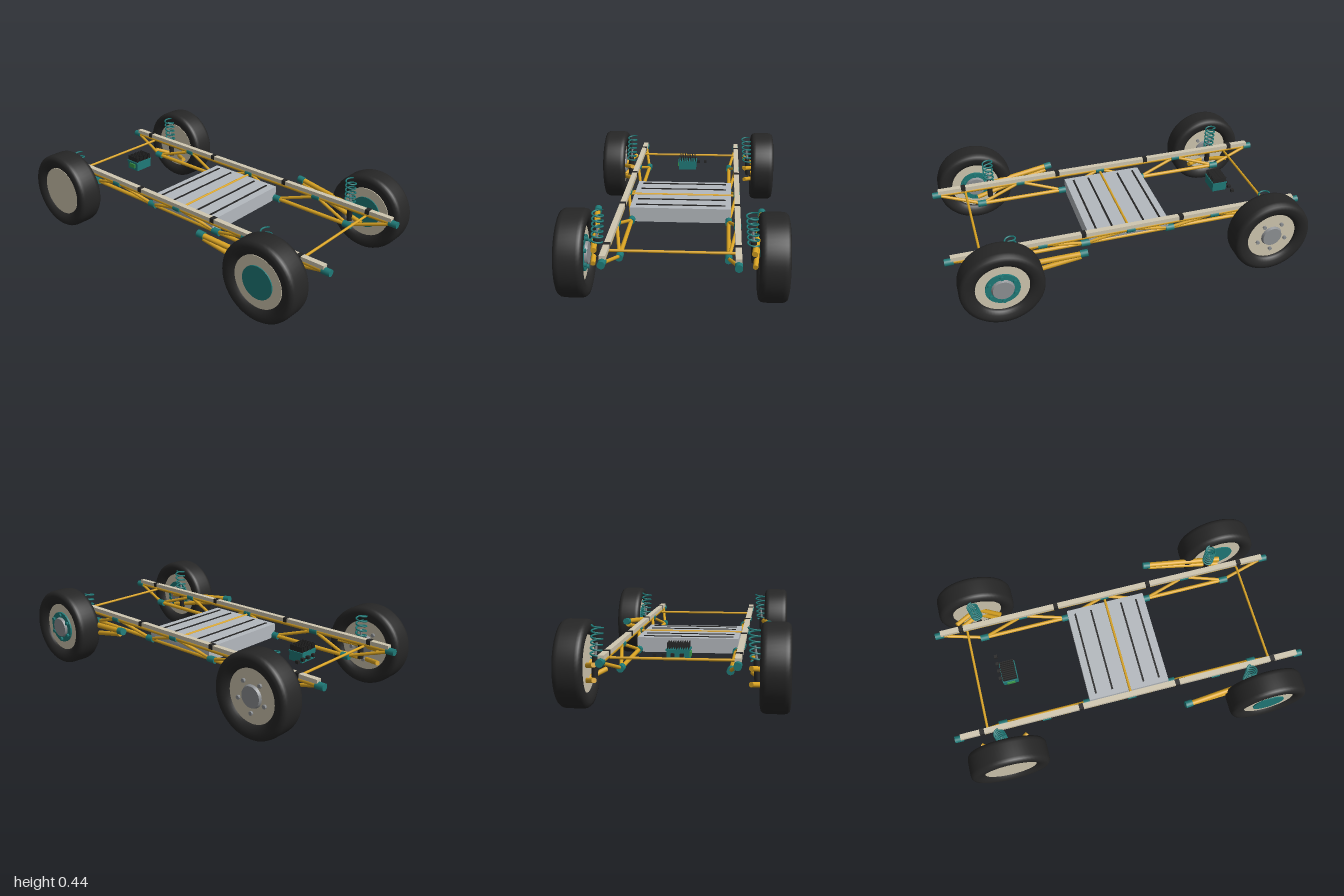
import * as THREE from 'three';

const mat = (color, side = THREE.FrontSide) => new THREE.MeshStandardMaterial({ color, side });
const teal = mat(0x1f7a78), yellow = mat(0xd9a322), cream = mat(0xd0c7b0), black = mat(0x262626);
const steel = mat(0x8e9194), pale = mat(0xb4b9be), green = mat(0x3a9a4a);
const V = (x, y, z) => new THREE.Vector3(x, y, z);

function add(parent, name, geometry, material, x = 0, y = 0, z = 0) {
  const m = new THREE.Mesh(geometry, material);
  m.name = name;
  m.position.set(x, y, z);
  parent.add(m);
  return m;
}

function box(parent, name, w, h, d, material, x, y, z) {
  return add(parent, name, new THREE.BoxGeometry(w, h, d), material, x, y, z);
}

// Round bar between two points
function rod(parent, name, a, b, r, material = yellow, sides = 14) {
  const d = b.clone().sub(a);
  const m = add(parent, name, new THREE.CylinderGeometry(r, r, d.length(), sides), material);
  m.position.copy(a).addScaledVector(d, 0.5);
  m.quaternion.setFromUnitVectors(V(0, 1, 0), d.normalize());
  return m;
}

// Wheel with its axis along y, then turned so the hub faces +x
function wheel(parent, name, x, z, front) {
  const g = new THREE.Group();
  g.name = name;
  const half = [[0.22, 0.04], [0.217, 0.056], [0.208, 0.068], [0.19, 0.0725], [0.165, 0.068], [0.147, 0.056], [0.14, 0.045]];
  const lower = half.map(([r, y]) => [r, -y]).reverse();
  const pts = [...lower, ...half, lower[0]].map(p => new THREE.Vector2(...p));
  add(g, 'tyre', new THREE.LatheGeometry(pts, 56), black);
  add(g, 'rim', new THREE.CylinderGeometry(0.142, 0.142, 0.096, 48), cream, 0, -0.005, 0);
  if (front) add(g, 'hubPlate', new THREE.CylinderGeometry(0.09, 0.09, 0.112, 40), teal, 0, -0.003, 0);
  const top = front ? 0.053 : 0.043;
  add(g, 'hubCap', new THREE.CylinderGeometry(0.054, 0.06, 0.014, 32), steel, 0, top + 0.007, 0);
  const n = front ? 6 : 5, ring = front ? 0.074 : 0.085;
  for (let i = 0; i < n; i++) {
    const a = i / n * Math.PI * 2;
    add(g, 'wheelBolt', new THREE.CylinderGeometry(0.011, 0.011, 0.012, 6), front ? teal : steel,
      ring * Math.cos(a), top + 0.006, ring * Math.sin(a));
  }
  g.rotation.z = -Math.PI / 2;
  g.position.set(x, 0.225, z);
  parent.add(g);
}

// Coil spring with a damper inside
function springStrut(parent, s, z) {
  const pts = [], turns = 6, steps = 96;
  for (let i = 0; i <= steps; i++) {
    const t = i / steps, a = t * turns * Math.PI * 2;
    pts.push(V(s * (0.39 - 0.012 * t) + 0.028 * Math.cos(a), 0.25 + 0.168 * t, z + 0.028 * Math.sin(a)));
  }
  add(parent, 'coilSpring', new THREE.TubeGeometry(new THREE.CatmullRomCurve3(pts), 200, 0.0045, 7), teal);
  rod(parent, 'damperBody', V(s * 0.397, 0.16, z), V(s * 0.391, 0.27, z), 0.016, black);
  rod(parent, 'damperRod', V(s * 0.391, 0.27, z), V(s * 0.384, 0.33, z), 0.006, steel);
}

// One side of the truss chassis
function sideFrame(parent, s) {
  const g = new THREE.Group();
  g.name = s > 0 ? 'leftSideFrame' : 'rightSideFrame';
  const up = z => V(s * 0.313, 0.28, z), low = z => V(s * 0.268, 0.205, z);
  box(g, 'topRail', 0.03, 0.022, 1.94, cream, s * 0.313, 0.301, 0);
  rod(g, 'upperTube', up(-0.98), up(0.98), 0.012);
  rod(g, 'lowerTube', low(-0.735), low(0.735), 0.011);
  const upper = [-0.98, -0.49, 0, 0.49, 0.98], lower = [-0.735, -0.245, 0.245, 0.73];
  const joint = p => rod(g, 'joint', p.clone().setZ(p.z - 0.024), p.clone().setZ(p.z + 0.024), 0.019, teal, 18);
  upper.forEach(z => joint(up(z)));
  lower.forEach((z, i) => {
    joint(low(z));
    rod(g, 'diagonalBrace', up(upper[i]), low(z), 0.009);
    rod(g, 'diagonalBrace', low(z), up(upper[i + 1]), 0.009);
  });
  for (const z of [-0.85, -0.29, 0.265, 0.825])
    box(g, 'railClamp', 0.033, 0.026, 0.025, black, s * 0.313, 0.302, z);
  parent.add(g);
}

function suspension(parent, s) {
  const g = new THREE.Group();
  g.name = s > 0 ? 'leftSuspension' : 'rightSuspension';
  // Front trailing arms
  rod(g, 'trailingArm', V(s * 0.445, 0.28, 0.3), V(s * 0.395, 0.235, 0.74), 0.015);
  rod(g, 'lowerTrailingArm', V(s * 0.44, 0.258, 0.31), V(s * 0.4, 0.165, 0.74), 0.013);
  rod(g, 'trailingArmBush', V(s * 0.445, 0.282, 0.275), V(s * 0.441, 0.278, 0.315), 0.02, teal, 18);
  // Rear wishbones
  for (const y of [0.165, 0.24])
    for (const d of [-1, 1])
      rod(g, 'rearWishbone', V(s * 0.37, y + 0.006, -0.745 + d * 0.13), V(s * 0.44, y - 0.02, -0.745 + d * 0.02), 0.013);
  springStrut(g, s, 0.665);
  springStrut(g, s, -0.75);
  parent.add(g);
}

function batteryTray(parent) {
  const g = new THREE.Group();
  g.name = 'batteryTray';
  const sh = new THREE.Shape();
  sh.moveTo(-0.28, 0.272);
  sh.lineTo(-0.28, 0.235);
  sh.quadraticCurveTo(-0.272, 0.192, -0.235, 0.19);
  sh.lineTo(0.235, 0.19);
  sh.quadraticCurveTo(0.272, 0.192, 0.28, 0.235);
  sh.lineTo(0.28, 0.272);
  sh.closePath();
  const geo = new THREE.ExtrudeGeometry(sh, { depth: 0.46, bevelEnabled: false, curveSegments: 8 });
  add(g, 'trayBody', geo, pale, 0, 0, -0.233);
  for (const z of [-0.19, -0.095, 0.087, 0.178])
    box(g, 'trayRib', 0.5, 0.006, 0.01, black, 0, 0.273, z);
  parent.add(g);
}

function controller(parent) {
  const g = new THREE.Group();
  g.name = 'controller';
  box(g, 'housing', 0.112, 0.05, 0.085, teal, -0.004, 0.262, -0.638);
  box(g, 'lid', 0.12, 0.008, 0.088, teal, -0.004, 0.288, -0.638);
  box(g, 'sidePort', 0.008, 0.025, 0.045, green, -0.063, 0.265, -0.638);
  for (let i = 0; i < 10; i++)
    box(g, 'coolingFin', 0.004, 0.032, 0.08, black, -0.055 + i * 0.0115, 0.306, -0.638);
  for (let i = 0; i < 4; i++)
    box(g, 'connector', 0.018, 0.016, 0.018, black, -0.025 + i * 0.045, 0.265, -0.693);
  parent.add(g);
}

export function createModel() {
  const model = new THREE.Group();
  model.name = 'rollingChassis';
  for (const s of [-1, 1]) {
    sideFrame(model, s);
    suspension(model, s);
    const side = s > 0 ? 'left' : 'right';
    wheel(model, side + 'FrontWheel', s * 0.483, 0.742, true);
    wheel(model, side + 'RearWheel', s * 0.483, -0.745, false);
  }
  for (const z of [-0.82, 0, 0.815])
    rod(model, 'crossBar', V(-0.305, 0.272, z), V(0.305, 0.272, z), 0.007);
  batteryTray(model);
  controller(model);
  return model;
}
